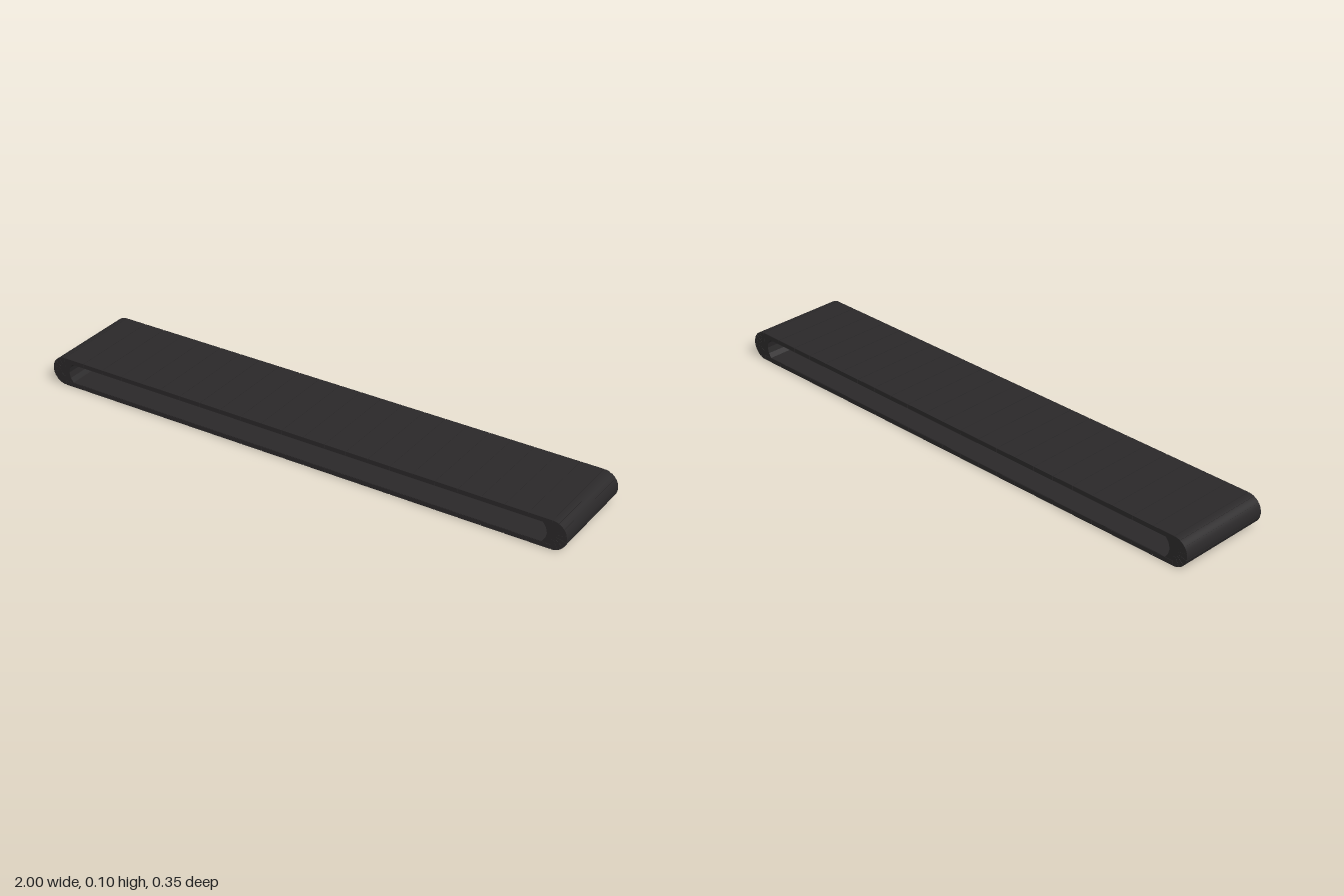
import * as THREE from 'three';

const R = 0.0525;      // outer radius of the rounded ends
const CX = 1 - R;      // centre of each end
const WIDTH = 0.354;
const THICK = 0.017;   // belt thickness on the straight runs
const GAP = 0.0012;    // seam between slats

const material = new THREE.MeshStandardMaterial({ color: 0x2a2829, flatShading: true });

function extrude(name, shape, width) {
  const geometry = new THREE.ExtrudeGeometry(shape, { depth: width, bevelEnabled: false, curveSegments: 14 });
  geometry.translate(0, 0, -width / 2);
  const mesh = new THREE.Mesh(geometry, material);
  mesh.name = name;
  return mesh;
}

const polygon = (points) => new THREE.Shape(points.map(([x, y]) => new THREE.Vector2(x, y)));

export function createModel() {
  const group = new THREE.Group();
  group.name = 'trackBelt';

  // Continuous belt just beneath the slats, thickened at both ends
  const r = R - 0.0015;
  const core = new THREE.Shape();
  core.moveTo(-CX, R - r);
  core.lineTo(CX, R - r);
  core.absarc(CX, R, r, -Math.PI / 2, Math.PI / 2, false);
  core.lineTo(-CX, R + r);
  core.absarc(-CX, R, r, Math.PI / 2, Math.PI * 1.5, false);
  const lo = THICK, hi = 2 * R - THICK;
  core.holes.push(polygon([
    [-0.915, lo], [-0.926, 0.032], [-0.931, R], [-0.926, 0.073], [-0.915, hi],
    [0.915, hi], [0.926, 0.073], [0.931, R], [0.926, 0.032], [0.915, lo],
  ]));
  group.add(extrude('beltCore', core, WIDTH - 0.002));

  // Flat slats along the upper and lower runs
  const count = 23, pitch = 2 * CX / count;
  for (let i = 0; i < count; i++) {
    const x0 = -CX + i * pitch + GAP, x1 = -CX + (i + 1) * pitch - GAP;
    for (const [name, y0, y1] of [['lowerSlat', 0, THICK - 0.001], ['upperSlat', 2 * R - THICK + 0.001, 2 * R]]) {
      group.add(extrude(name, polygon([[x0, y0], [x1, y0], [x1, y1], [x0, y1]]), WIDTH));
    }
  }

  // Curved slats fanned around each end
  const fan = 7, step = Math.PI / fan, inner = 0.018;
  for (const [name, cx, start] of [['leftEndSlat', CX, -Math.PI / 2], ['rightEndSlat', -CX, Math.PI / 2]]) {
    for (let i = 0; i < fan; i++) {
      const a0 = start + i * step + 0.015, a1 = start + (i + 1) * step - 0.015;
      const slat = new THREE.Shape();
      slat.absarc(cx, R, R, a0, a1, false);
      slat.absarc(cx, R, inner, a1, a0, true);
      slat.closePath();
      group.add(extrude(name, slat, WIDTH));
    }
  }
  return group;
}
